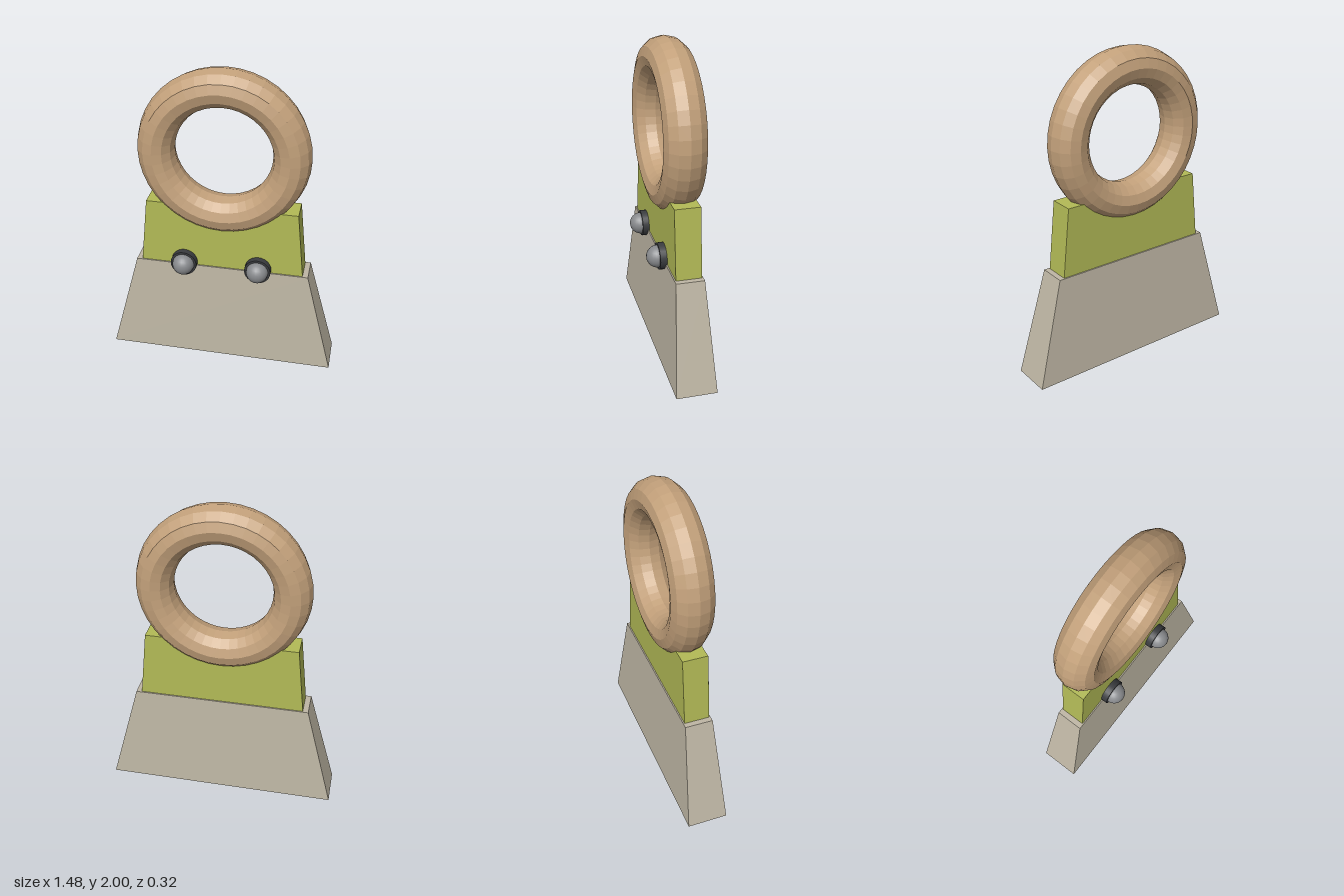
import * as THREE from 'three';

const material = (name, color, flatShading = false) => {
  const m = new THREE.MeshStandardMaterial({ color, flatShading });
  m.name = name;
  return m;
};

// Box whose top is narrower than its bottom; sizes are half widths
function taperedBlock(y0, y1, bottom, top) {
  const g = new THREE.BoxGeometry(2, 1, 2);
  const p = g.attributes.position;
  for (let i = 0; i < p.count; i++) {
    const [hx, hz] = p.getY(i) > 0 ? top : bottom;
    p.setXYZ(i, p.getX(i) * hx, p.getY(i) > 0 ? y1 : y0, p.getZ(i) * hz);
  }
  g.computeVertexNormals();
  return g;
}

export function createModel() {
  const group = new THREE.Group();
  const stone = material('stone grey', 0xbeb6a4);
  const green = material('olive green', 0xb2ba56);
  const wood = material('tan wood', 0xc2a07a, true);
  const steel = material('steel grey', 0x888a8d);
  const dark = material('dark steel', 0x3a3c3f);
  const midZ = -0.028;

  const add = (name, geometry, mat, x, y, z, parent = group) => {
    const mesh = new THREE.Mesh(geometry, mat);
    mesh.name = name;
    mesh.position.set(x, y, z);
    parent.add(mesh);
    return mesh;
  };

  // Blade and the collar that holds the handle
  add('blade', taperedBlock(0, 0.68, [0.74, 0.128], [0.56, 0.088]), stone, 0, 0, midZ);
  add('handleSocket', taperedBlock(0.68, 1.12, [0.525, 0.08], [0.48, 0.08]), green, 0, 0, midZ);

  // Ring handle, slightly thicker front to back
  const ring = add('ringHandle', new THREE.TorusGeometry(0.419, 0.117, 12, 40), wood, 0, 1.464, midZ);
  ring.scale.z = 1.11;

  // Domed rivets on the front
  const washer = new THREE.CylinderGeometry(0.084, 0.084, 0.045, 24).rotateX(Math.PI / 2);
  const dome = new THREE.SphereGeometry(0.07, 20, 14);
  for (const side of [-1, 1]) {
    const rivet = new THREE.Group();
    rivet.name = side > 0 ? 'leftRivet' : 'rightRivet';
    rivet.position.set(side * 0.24, 0.703, 0);
    add('washer', washer, dark, 0, 0, 0.071, rivet);
    add('dome', dome, steel, 0, 0, 0.094, rivet);
    group.add(rivet);
  }
  return group;
}
